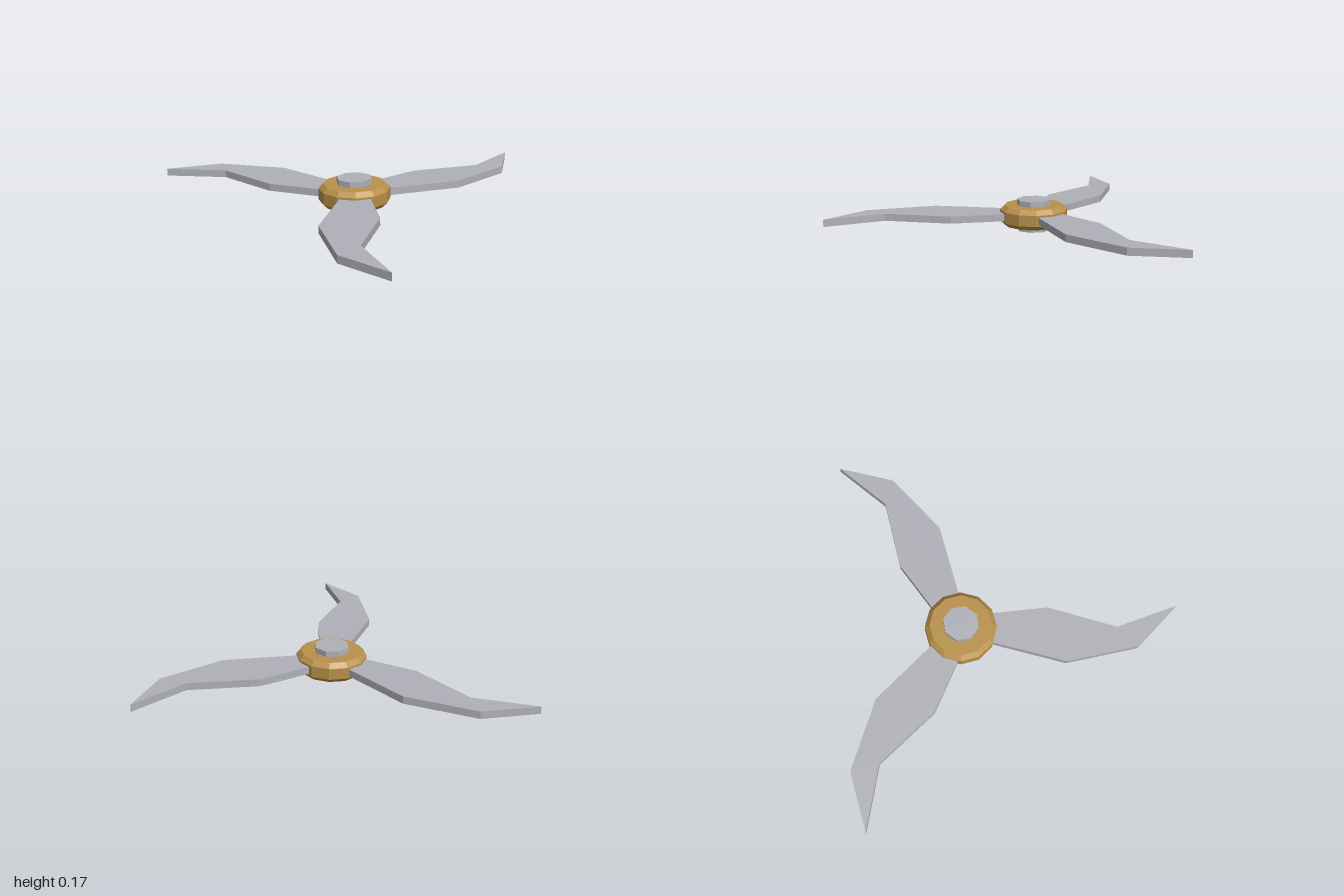
import * as THREE from 'three';

const material = (name, color) => {
  const m = new THREE.MeshStandardMaterial({ color, flatShading: true });
  m.name = name;
  return m;
};

export function createModel() {
  const steel = material('steel grey', 0xb0b0b8);
  const brass = material('brass gold', 0xb8904a);
  const model = new THREE.Group();
  model.name = 'threeBladedThrowingStar';
  model.position.set(-0.243, 0, -0.058);

  const add = (name, geometry, mat, parent = model) => {
    const mesh = new THREE.Mesh(geometry, mat);
    mesh.name = name;
    parent.add(mesh);
    return mesh;
  };

  // Twelve-sided hub with chamfered rims
  const hubProfile = [[0, 0.031], [0.166, 0.031], [0.191, 0.056], [0.191, 0.118], [0.166, 0.143], [0, 0.143]];
  add('hub', new THREE.LatheGeometry(hubProfile.map(([r, y]) => new THREE.Vector2(r, y)), 12), brass);

  // Octagonal pin through the hub
  add('centerPin', new THREE.CylinderGeometry(0.096, 0.096, 0.174, 8), steel).position.y = 0.087;

  // Angular hooked blade outline, as x and z
  const outline = [
    [0.1, -0.07], [0.464, -0.108], [0.83, 0.002], [1.152, -0.114],
    [0.936, 0.109], [0.554, 0.19], [0.1, 0.067],
  ];
  const shape = new THREE.Shape(outline.map(([x, z]) => new THREE.Vector2(x, -z)));
  const blade = new THREE.ExtrudeGeometry(shape, { depth: 0.04, bevelEnabled: false });
  blade.rotateX(-Math.PI / 2).translate(0, 0.067, 0);

  // Three blades evenly around the hub
  for (let i = 0; i < 3; i++) {
    add(`blade${i + 1}`, blade, steel).rotation.y = (i * Math.PI * 2) / 3;
  }

  const root = new THREE.Group();
  root.name = 'throwingStar';
  root.add(model);
  return root;
}
